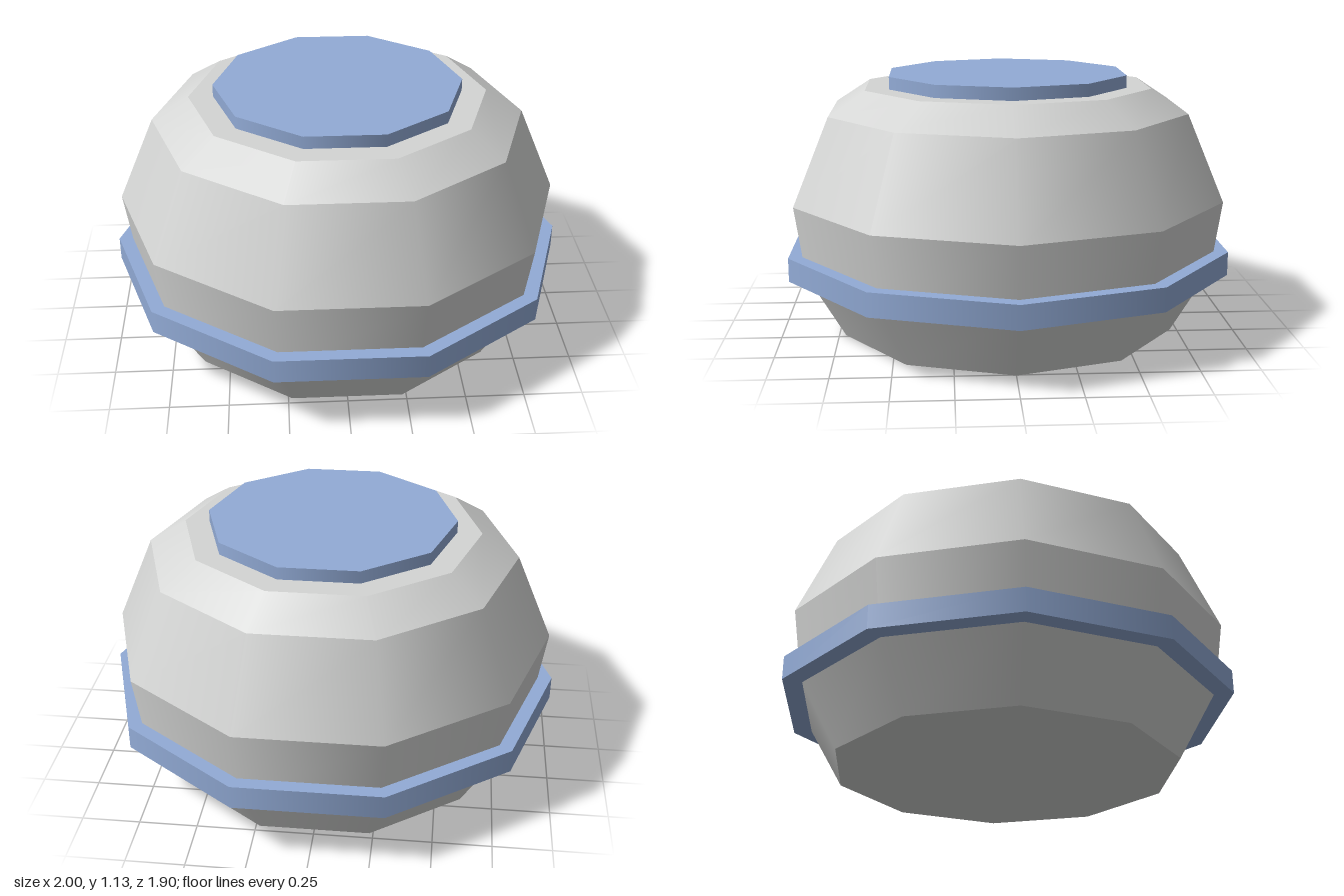
import * as THREE from 'three';

const SIDES = 10;

export function createModel() {
  const model = new THREE.Group();
  model.name = 'pot';
  const shell = new THREE.MeshStandardMaterial({ color: 0xd4d5d4 });
  shell.name = 'pale grey';
  const trim = new THREE.MeshStandardMaterial({ color: 0x92abd6 });
  trim.name = 'soft blue';

  // Ten-sided tapered drum with a corner on the x axis, smooth around and sharp at its rims
  function drum(name, material, [r0, y0], [r1, y1], open = false, parent = model) {
    const geometry = new THREE.CylinderGeometry(r1, r0, y1 - y0, SIDES, 1, open, Math.PI / 2);
    const mesh = new THREE.Mesh(geometry, material);
    mesh.name = name;
    mesh.position.y = (y0 + y1) / 2;
    parent.add(mesh);
  }

  // Flat ten-sided disc closing the body at one end
  function cap(name, radius, y, facing) {
    const mesh = new THREE.Mesh(new THREE.CircleGeometry(radius, SIDES), shell);
    mesh.name = name;
    mesh.rotation.x = -facing * Math.PI / 2;
    mesh.position.y = y;
    body.add(mesh);
  }

  // Body: stacked tapered bands between the profile points [radius, height]
  const body = new THREE.Group();
  body.name = 'body';
  model.add(body);
  const profile = [[0.757, 0], [0.925, 0.29], [0.97, 0.597], [0.808, 0.976], [0.645, 1.08]];
  const names = ['base', 'lowerWall', 'upperWall', 'shoulder'];
  names.forEach((name, i) => drum(name, shell, profile[i], profile[i + 1], true, body));
  cap('bottom', 0.757, 0, -1);
  cap('top', 0.645, 1.08, 1);

  // Belt around the body and lid on top
  drum('belt', trim, [1, 0.273], [1, 0.376]);
  drum('lid', trim, [0.538, 1.07], [0.538, 1.134]);

  return model;
}
